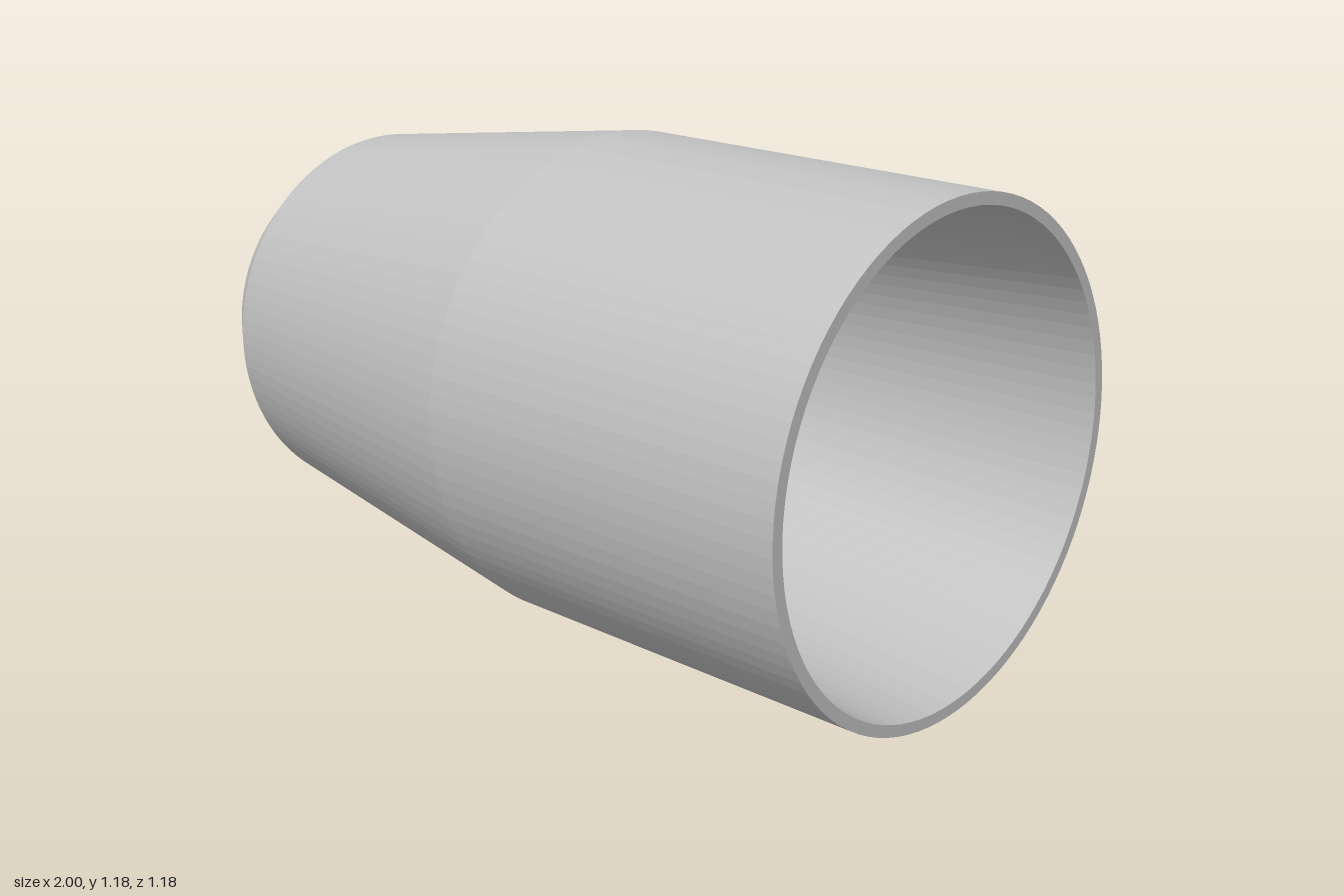
import * as THREE from 'three';

export function createModel() {
  const group = new THREE.Group();
  group.name = 'taperedSleeve';
  const grey = new THREE.MeshStandardMaterial({ color: 0xc0c0c0, flatShading: true });
  grey.name = 'light grey';

  // Closed wall section as [radius, position along x]
  const sections = {
    bore: [[0.538, 1], [0.397, -1]],
    narrowRim: [[0.397, -1], [0.401, -1]],
    outerShell: [[0.401, -1], [0.487, -0.86], [0.588, 0.04], [0.565, 1]],
    wideRim: [[0.565, 1], [0.538, 1]],
  };

  // Each surface is turned around the x axis
  for (const [name, profile] of Object.entries(sections)) {
    const points = profile.map(([r, x]) => new THREE.Vector2(r, x));
    const geometry = new THREE.LatheGeometry(points, 96).toNonIndexed();
    geometry.rotateZ(-Math.PI / 2);
    geometry.computeVertexNormals();
    const mesh = new THREE.Mesh(geometry, grey);
    mesh.name = name;
    mesh.position.y = 0.588;
    group.add(mesh);
  }
  return group;
}
